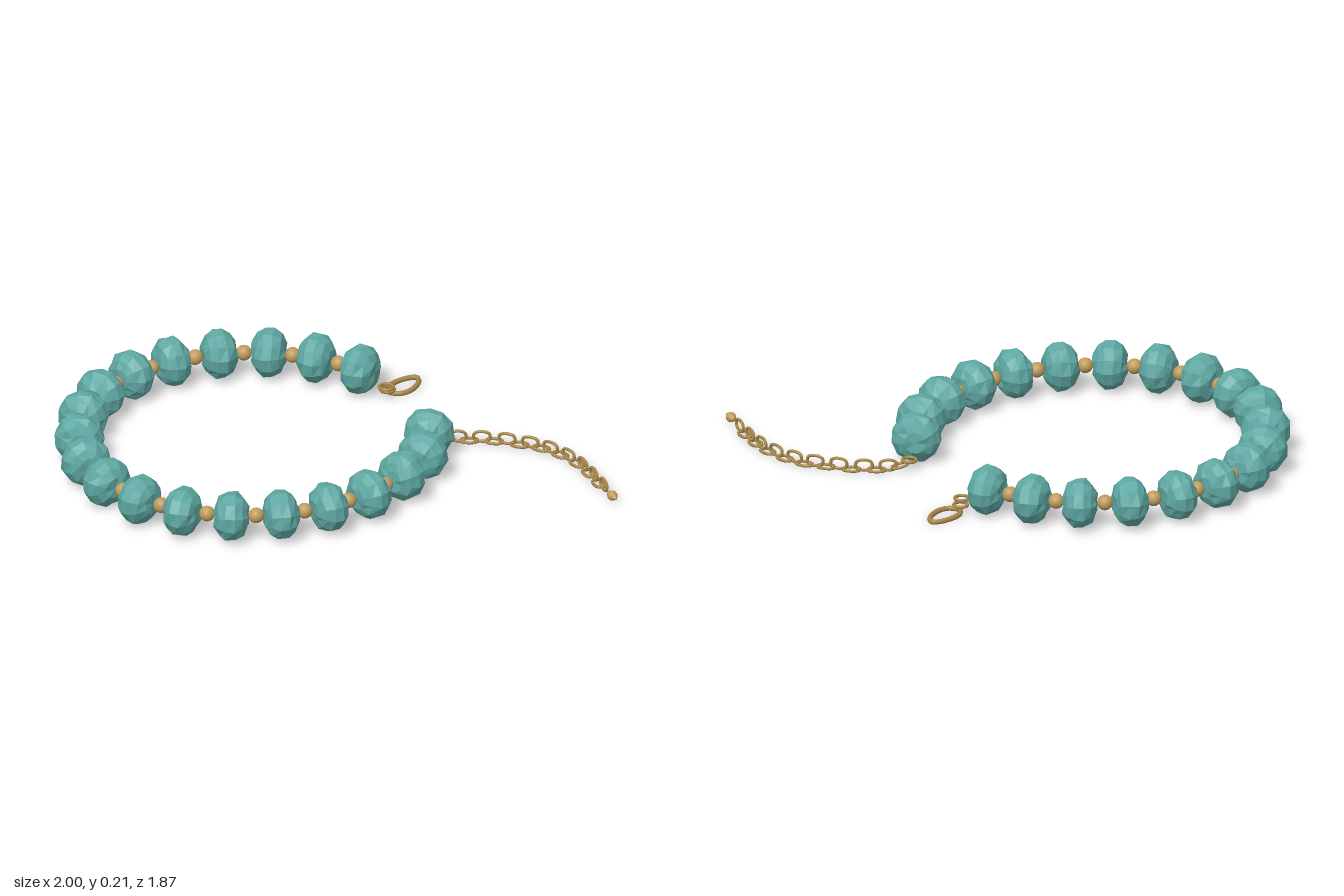
import * as THREE from 'three';

const teal = new THREE.MeshStandardMaterial({ color: 0x5fa8a3 });
teal.name = 'teal stone';
teal.flatShading = true;
const gold = new THREE.MeshStandardMaterial({ color: 0xc09c5c });
gold.name = 'gold';
const oldGold = new THREE.MeshStandardMaterial({ color: 0xa88748 });
oldGold.name = 'antique gold';

// Centres of the stone beads in x, z, from the clasp end to the chain end
const STONES = [
  [0.47, -0.43], [0.355, -0.6], [0.206, -0.732], [0.02, -0.815], [-0.184, -0.842],
  [-0.382, -0.81], [-0.568, -0.72], [-0.718, -0.58], [-0.825, -0.405], [-0.893, -0.214],
  [-0.9, -0.014], [-0.85, 0.187], [-0.74, 0.358], [-0.585, 0.489], [-0.398, 0.567],
  [-0.195, 0.593], [0.003, 0.567], [0.195, 0.482], [0.355, 0.358], [0.467, 0.192],
];

// Centres of the flat chain links in x, z
const LINKS = [
  [0.579, 0.123], [0.665, 0.166], [0.752, 0.219], [0.83, 0.292], [0.894, 0.36],
  [0.937, 0.446], [0.964, 0.545], [0.968, 0.643], [0.963, 0.743],
];

// Faceted barrel bead, its axis along z, slightly irregular
function stoneGeometry() {
  const profile = [[0, -0.068], [0.045, -0.068], [0.08, -0.05], [0.102, -0.019],
    [0.102, 0.019], [0.08, 0.05], [0.045, 0.068], [0, 0.068]];
  const g = new THREE.LatheGeometry(profile.map(([r, y]) => new THREE.Vector2(r, y)), 11);
  const p = g.attributes.position;
  for (let i = 0; i < p.count; i++) {
    const x = p.getX(i), y = p.getY(i), z = p.getZ(i);
    const k = 1 + 0.025 * Math.sin(70 * x + 45 * z + 90 * y);
    p.setXYZ(i, x * k, y + 0.004 * Math.sin(60 * x - 80 * z), z * k);
  }
  g.rotateX(Math.PI / 2);
  g.computeVertexNormals();
  return g;
}

// Wire bent to a closed loop through points in x, z
function wireLoop(points, radius, segments) {
  const curve = new THREE.CatmullRomCurve3(points.map(([x, z]) => new THREE.Vector3(x, 0, z)), true);
  return new THREE.TubeGeometry(curve, segments, radius, 8, true);
}

export function createModel() {
  const model = new THREE.Group();
  model.name = 'bracelet';
  const add = (parent, name, geometry, material, x, y, z) => {
    const mesh = new THREE.Mesh(geometry, material);
    mesh.name = name;
    mesh.position.set(x, y, z);
    parent.add(mesh);
    return mesh;
  };
  const group = (name) => {
    const g = new THREE.Group();
    g.name = name;
    model.add(g);
    return g;
  };

  // Stone beads, each turned along the string
  const strand = group('beadStrand');
  const stone = stoneGeometry();
  const spacer = new THREE.SphereGeometry(0.032, 20, 14);
  STONES.forEach(([x, z], i) => {
    const a = STONES[Math.max(i - 1, 0)];
    const b = STONES[Math.min(i + 1, STONES.length - 1)];
    const bead = add(strand, 'stoneBead', stone, teal, x, 0.112, z);
    bead.rotation.order = 'YXZ';
    bead.rotation.y = Math.atan2(b[0] - a[0], b[1] - a[1]);
    bead.rotation.z = i * 1.7;
    // Gold spacer halfway to the next stone
    if (i < STONES.length - 1) {
      add(strand, 'spacerBead', spacer, gold, (x + b[0]) / 2, 0.112, (z + b[1]) / 2);
    }
  });

  // Clasp: jump ring and a teardrop loop lying flat
  const clasp = group('clasp');
  const ring = new THREE.TorusGeometry(0.028, 0.007, 8, 28).rotateX(Math.PI / 2);
  add(clasp, 'claspRing', ring, oldGold, 0.542, 0.055, -0.34);
  add(clasp, 'claspInnerRing', ring, oldGold, 0.555, 0.034, -0.355);
  add(clasp, 'claspLoop', wireLoop([
    [0.565, -0.36], [0.583, -0.4], [0.63, -0.427], [0.69, -0.435], [0.722, -0.425],
    [0.718, -0.395], [0.69, -0.36], [0.645, -0.332], [0.6, -0.328],
  ], 0.011, 56), oldGold, 0, 0.017, 0);

  // Extender chain: flat links joined by upright ones
  const chain = group('extenderChain');
  add(chain, 'chainRing', ring, oldGold, 0.542, 0.055, 0.112);
  const w = 0.021, l = 0.034;
  const link = wireLoop([[w, -0.014], [w, 0.014], [w * 0.66, l * 0.88], [0, l], [-w * 0.66, l * 0.88],
    [-w, 0.014], [-w, -0.014], [-w * 0.66, -l * 0.88], [0, -l], [w * 0.66, -l * 0.88]], 0.0065, 32);
  const path = [...LINKS, [0.956, 0.845]];
  LINKS.forEach(([x, z], i) => {
    const next = path[i + 1];
    const prev = path[Math.max(i - 1, 0)];
    const flat = add(chain, 'flatLink', link, oldGold, x, i === 0 ? 0.034 : 0.016, z);
    flat.rotation.order = 'YXZ';
    flat.rotation.y = Math.atan2(next[0] - prev[0], next[1] - prev[1]);
    if (i === 0) flat.rotation.x = 0.3;
    const upright = add(chain, 'uprightLink', link, oldGold, (x + next[0]) / 2, 0.036, (z + next[1]) / 2);
    upright.rotation.order = 'YXZ';
    upright.rotation.y = Math.atan2(next[0] - x, next[1] - z);
    upright.rotation.z = Math.PI / 2;
  });

  // Pointed drop at the end of the chain
  const drop = new THREE.LatheGeometry(
    [[0, -0.034], [0.012, -0.027], [0.021, -0.008], [0.02, 0.003], [0.01, 0.021], [0.004, 0.031], [0, 0.032]]
      .map(([r, y]) => new THREE.Vector2(r, y)), 16).rotateX(Math.PI / 2);
  add(chain, 'endDrop', drop, gold, 0.948, 0.034, 0.897);

  return model;
}
